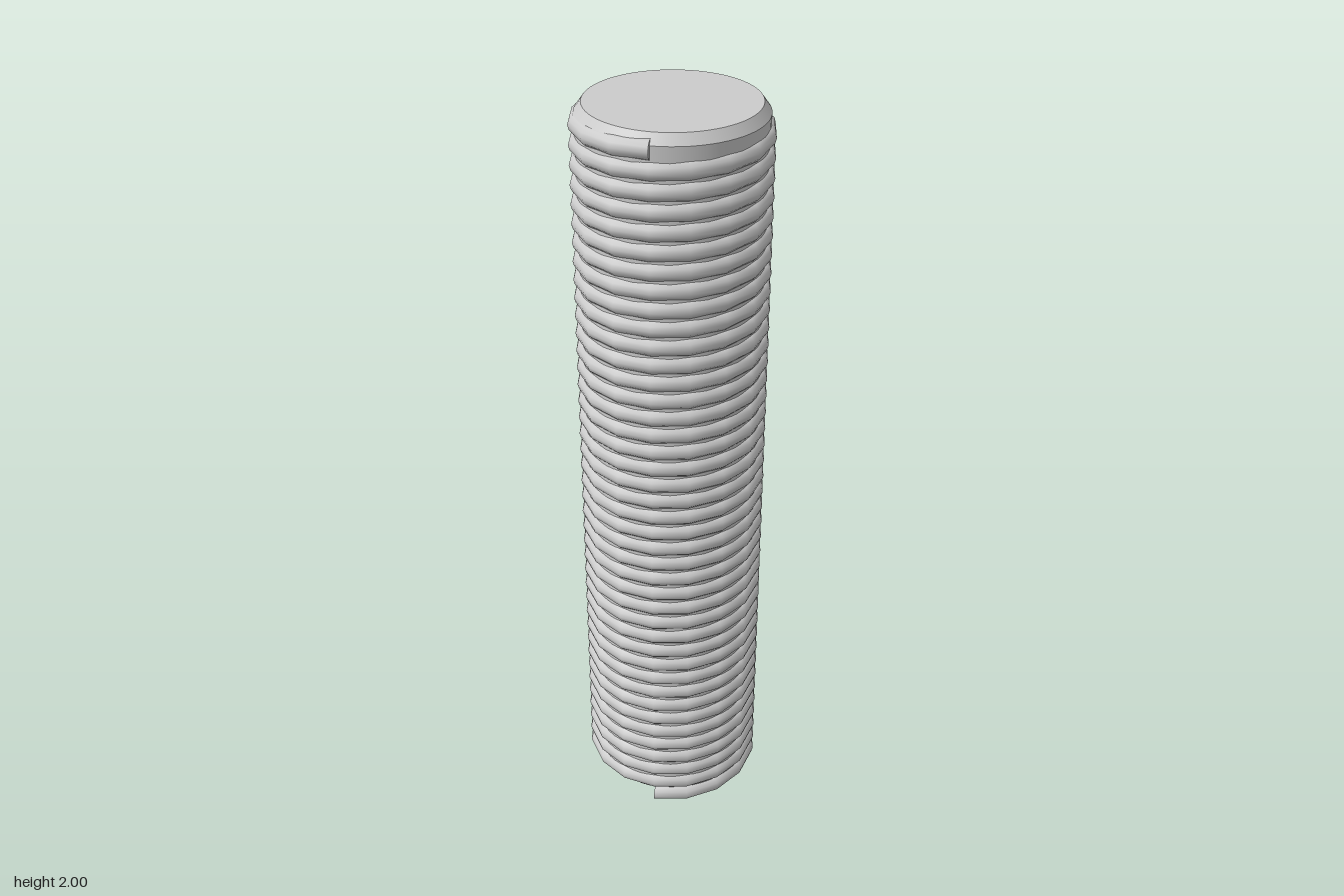
import * as THREE from 'three';

const PITCH = 0.0485, TURNS = 40;      // thread rise per turn
const RING = 0.219, WIRE = 0.024;      // helix radius, thread radius
const START_Y = 0.024;
const STEPS = 16, SIDES = 12;          // facets per turn, sides of the thread

// Sweep a round section up a helix that starts at the front and runs toward +x
function threadGeometry() {
  const geo = new THREE.PlaneGeometry(1, 1, SIDES, STEPS * TURNS);
  const { position, normal, uv } = geo.attributes;
  for (let i = 0; i < position.count; i++) {
    const a = -uv.getX(i) * Math.PI * 2;
    const turn = uv.getY(i) * TURNS;
    const t = turn * Math.PI * 2;
    const r = RING + WIRE * Math.cos(a);
    position.setXYZ(i, r * Math.sin(t), START_Y + turn * PITCH + WIRE * Math.sin(a), r * Math.cos(t));
    normal.setXYZ(i, Math.cos(a) * Math.sin(t), Math.sin(a), Math.cos(a) * Math.cos(t));
  }
  return geo;
}

export function createModel() {
  const model = new THREE.Group();
  model.name = 'threadedRod';
  const material = new THREE.MeshStandardMaterial({ color: 0xcccccc });

  const add = (name, geometry, y = 0, z = 0) => {
    const mesh = new THREE.Mesh(geometry, material);
    mesh.name = name;
    mesh.position.set(0, y, z);
    model.add(mesh);
    return mesh;
  };

  // Core bar with a chamfer at each end
  const bottom = 0.03, top = 2, chamfer = 0.025, rim = 0.21, radius = 0.228;
  add('core', new THREE.CylinderGeometry(radius, radius, top - bottom - 2 * chamfer, 64, 1, true), (top + bottom) / 2);
  add('topChamfer', new THREE.CylinderGeometry(rim, radius, chamfer, 64, 1, true), top - chamfer / 2);
  add('bottomChamfer', new THREE.CylinderGeometry(radius, rim, chamfer, 64, 1, true), bottom + chamfer / 2);

  // Flat end faces
  add('topFace', new THREE.CircleGeometry(rim, 64).rotateX(-Math.PI / 2), top);
  add('bottomFace', new THREE.CircleGeometry(rim, 64).rotateX(Math.PI / 2), bottom);

  // Helical thread and its two cut ends
  add('thread', threadGeometry());
  add('threadStart', new THREE.CircleGeometry(WIRE, SIDES).rotateY(-Math.PI / 2), START_Y, RING);
  add('threadEnd', new THREE.CircleGeometry(WIRE, SIDES).rotateY(Math.PI / 2), START_Y + TURNS * PITCH, RING);

  return model;
}
